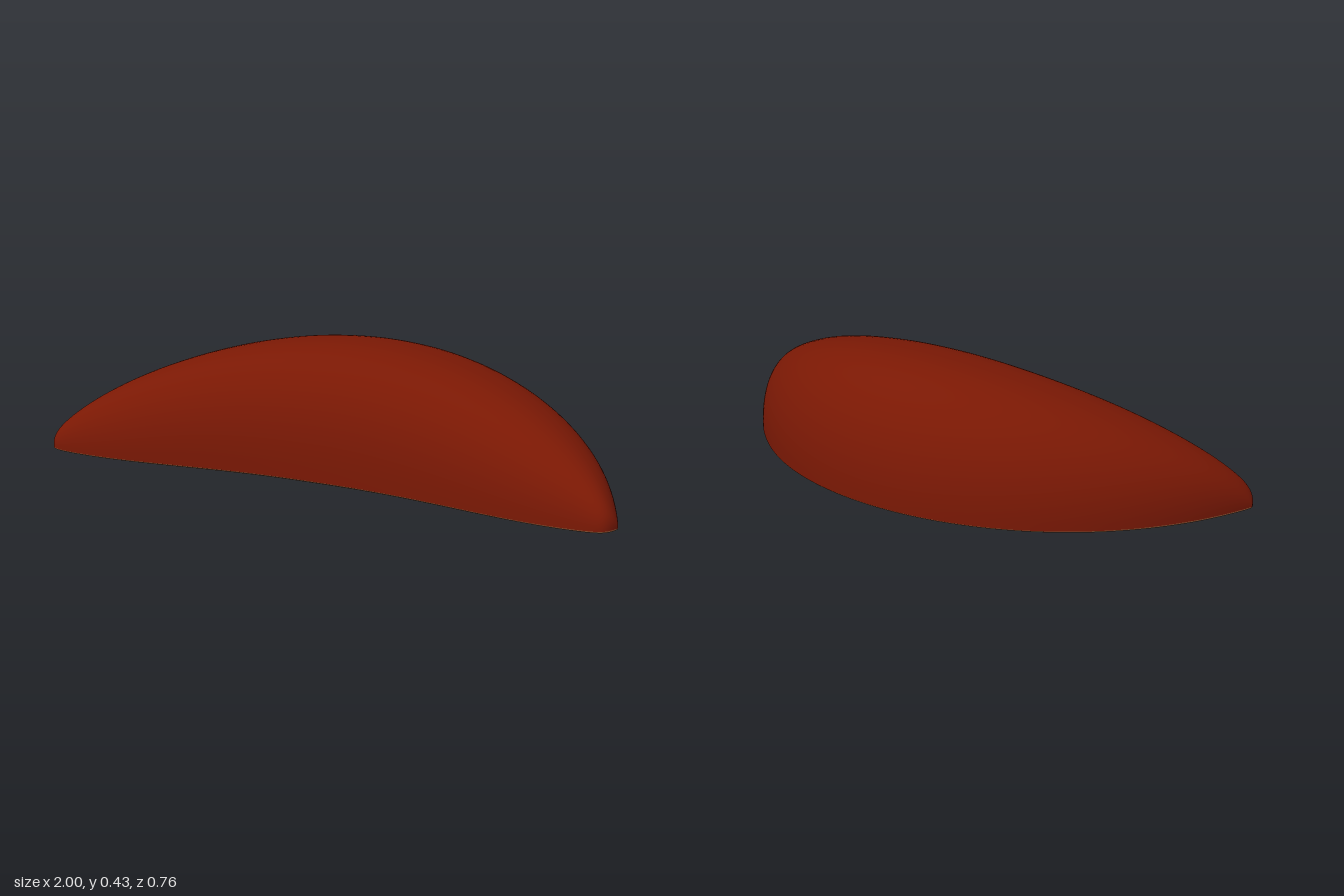
import * as THREE from 'three';

const ROWS = 128;

// Plan outline: circular back edge, gently hollowed front edge with rounded tips
const backZ = (x) => 0.68 - Math.sqrt(1.06 * 1.06 - x * x);
const frontZ = (x) => {
  const s = (1 - Math.cos(Math.PI * x)) / 2;
  return 0.275 + 0.108 * Math.pow(s, 1.25) - 0.055 * Math.pow(Math.abs(x), 60);
};
// Rim rises slightly toward the tips; the crest tapers to nothing there
const rimY = (x) => 0.015 + 0.018 * Math.pow(x, 4);
const crest = (c) => 0.41 * Math.pow(c, 1.27);

// Lofts cross-sections along x; section(k, c) gives [u, height above rim] across the width,
// where c is 1 in the middle of the crescent and 0 at the tips
function loft(cols, section) {
  const pos = [], index = [];
  for (let i = 0; i <= ROWS; i++) {
    const t = (i / ROWS - 0.5) * Math.PI * 0.9999;
    const x = Math.sin(t), c = Math.cos(t);
    const f = frontZ(x), b = backZ(x);
    for (let j = 0; j <= cols; j++) {
      const [u, y] = section(j / cols, c);
      pos.push(x, rimY(x) + y, (f + b) / 2 + u * (f - b) / 2);
    }
  }
  const w = cols + 1;
  for (let i = 0; i < ROWS; i++) {
    for (let j = 0; j < cols; j++) {
      const a = i * w + j, d = a + w;
      index.push(a, d, a + 1, d, d + 1, a + 1);
    }
  }
  const g = new THREE.BufferGeometry();
  g.setAttribute('position', new THREE.Float32BufferAttribute(pos, 3));
  g.setIndex(index);
  g.computeVertexNormals();
  return g;
}

export function createModel() {
  const red = new THREE.MeshStandardMaterial({ color: 0x7a1804 });
  red.name = 'russet';
  const brown = new THREE.MeshStandardMaterial({ color: 0xa4653f });
  brown.name = 'tan';
  const group = new THREE.Group();
  group.name = 'crescent';

  // Domed upper shell, from the front rim over the crest to the back rim;
  // the front shoulder is fuller in the middle
  const dome = new THREE.Mesh(loft(48, (k, c) => {
    const a = k * Math.PI, ca = Math.cos(a);
    const p = 2 / (ca > 0 ? 2.2 + 0.4 * Math.pow(c, 4) : 2.2);
    return [
      Math.sign(ca) * Math.pow(Math.abs(ca), p),
      crest(c) * Math.pow(Math.max(0, Math.sin(a)), p),
    ];
  }), red);
  dome.name = 'dome';

  // Nearly flat underside with a rounded edge, closing up at the tips
  const base = new THREE.Mesh(loft(40, (k, c) => {
    const u = -Math.cos(k * Math.PI);
    return [u, -0.015 * Math.sqrt(c * Math.max(0, 1 - Math.pow(u, 8)))];
  }), brown);
  base.name = 'underside';

  group.add(dome, base);
  return group;
}
